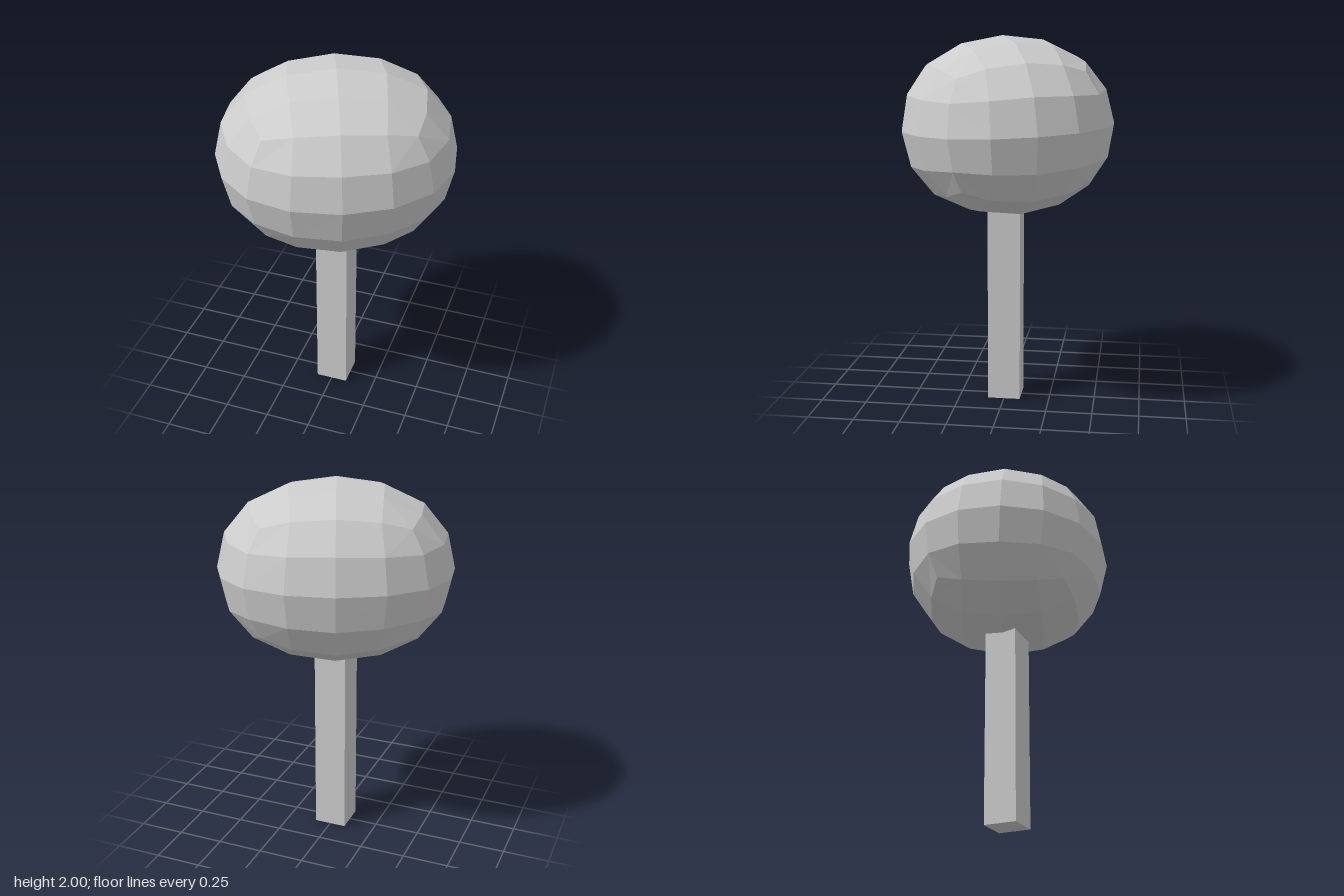
import * as THREE from 'three';

// Rounded-cube profile for one quarter of a face: height of the grid point
// above the centre, and its sideways offset, by grid step from the face middle.
const HEIGHT = [[1, 0.931, 0.726], [0.931, 0.868, 0.682], [0.726, 0.682, 0.595]];
const OFFSET = [[0, 0, 0], [0.396, 0.376, 0.353], [0.726, 0.682, 0.595]];

// Cube smoothed into a ball: six faces of 4 x 4 quads
function roundedCube(rx, ry, rz) {
  const radii = [rx, ry, rz];
  const positions = [];
  for (let axis = 0; axis < 3; axis++) {
    for (const side of [1, -1]) {
      const point = (i, j) => {
        const a = Math.abs(i), b = Math.abs(j);
        const p = [0, 0, 0];
        p[axis] = side * HEIGHT[a][b];
        p[(axis + 1) % 3] = side * Math.sign(i) * OFFSET[a][b];
        p[(axis + 2) % 3] = Math.sign(j) * OFFSET[b][a];
        return p.map((v, n) => v * radii[n]);
      };
      for (let i = -2; i < 2; i++) {
        for (let j = -2; j < 2; j++) {
          const q = [point(i, j), point(i + 1, j), point(i + 1, j + 1), point(i, j + 1)];
          for (const n of [0, 1, 2, 0, 2, 3]) positions.push(...q[n]);
        }
      }
    }
  }
  const geometry = new THREE.BufferGeometry();
  geometry.setAttribute('position', new THREE.Float32BufferAttribute(positions, 3));
  geometry.computeVertexNormals();
  return geometry;
}

export function createModel() {
  const model = new THREE.Group();
  model.name = 'tree';
  const material = new THREE.MeshStandardMaterial({ color: 0xcccccc, flatShading: true });

  // Square trunk, reaching a little way into the crown
  const trunk = new THREE.Mesh(new THREE.BoxGeometry(0.178, 1.12, 0.178), material);
  trunk.name = 'trunk';
  trunk.position.y = 0.56;
  model.add(trunk);

  // Faceted crown, turned and slightly tilted
  const crown = new THREE.Mesh(roundedCube(0.63, 0.4775, 0.566), material);
  crown.name = 'crown';
  crown.position.y = 1.5225;
  crown.rotation.set(0.044, 0.38, -0.012);
  model.add(crown);

  return model;
}
